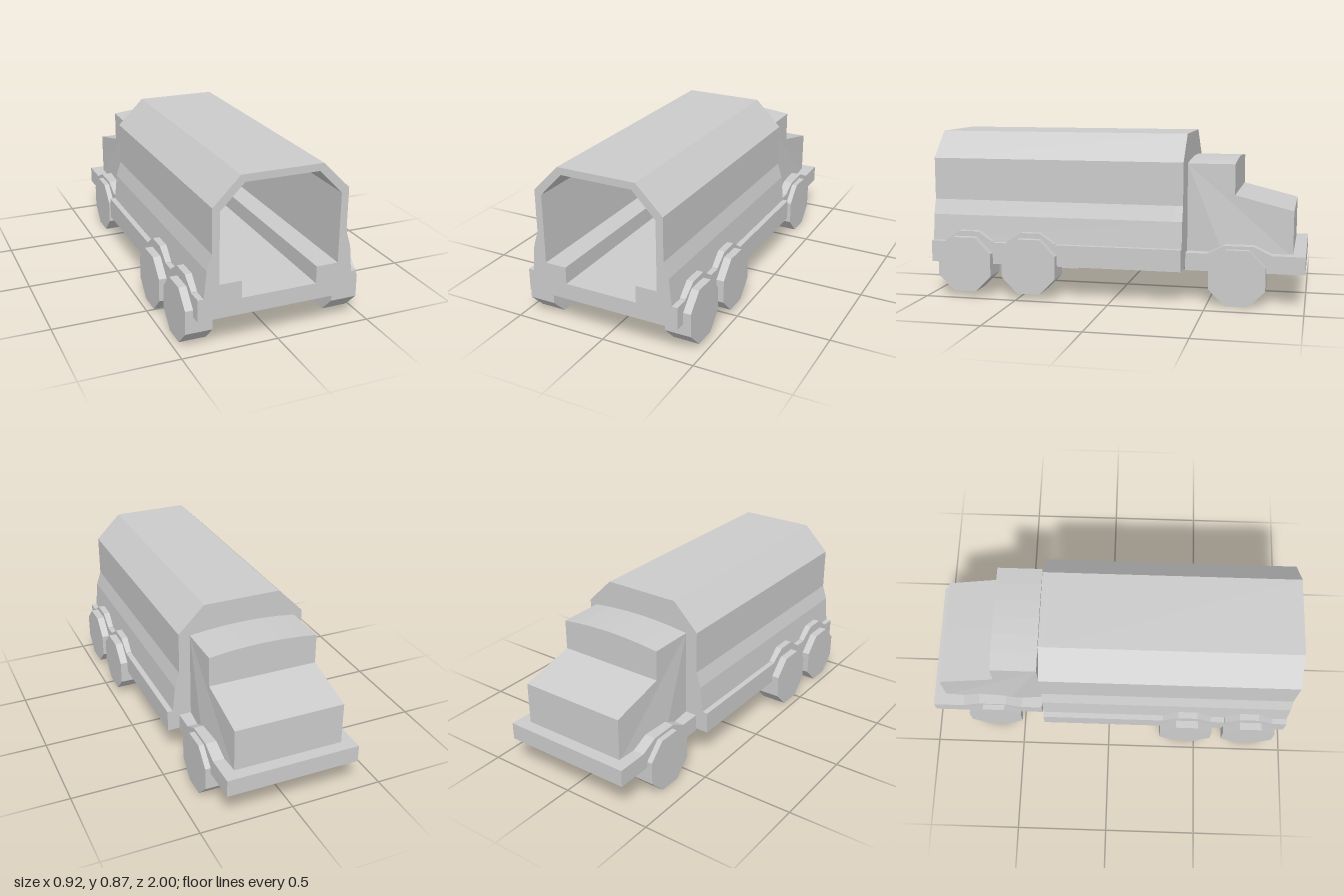
import * as THREE from 'three';

const material = new THREE.MeshStandardMaterial({ color: 0xcccccc, flatShading: true });

function add(parent, name, geometry) {
  const mesh = new THREE.Mesh(geometry, material);
  mesh.name = name;
  parent.add(mesh);
  return mesh;
}

// Closed shape from the right half of a symmetric outline, listed bottom to top
function mirrored(half) {
  const left = half.map(([x, y]) => [-x, y]).reverse();
  return new THREE.Shape([...half, ...left].map(([x, y]) => new THREE.Vector2(x, y)));
}

// Cross-section (x, y) extruded from z0 to z1
function alongZ(shape, z0, z1) {
  return new THREE.ExtrudeGeometry(shape, { depth: z1 - z0, bevelEnabled: false }).translate(0, 0, z0);
}

// Side profile (z, y) extruded from x0 to x1
function alongX(points, x0, x1, steps = 1) {
  const shape = new THREE.Shape(points.map(([z, y]) => new THREE.Vector2(z, y)));
  return new THREE.ExtrudeGeometry(shape, { depth: x1 - x0, steps, bevelEnabled: false })
    .rotateY(-Math.PI / 2)
    .translate(x1, 0, 0);
}

function createCargo() {
  const cargo = new THREE.Group();
  cargo.name = 'cargoBody';
  const outer = [[0.42, 0.175], [0.42, 0.29], [0.39, 0.29], [0.376, 0.43], [0.35, 0.51], [0.35, 0.735], [0.21, 0.875]];
  const inner = [[0.197, 0.26], [0.197, 0.35], [0.312, 0.35], [0.312, 0.713], [0.19, 0.838]];

  // Hollow shell with benches, open at one end
  const shell = mirrored(outer);
  shell.holes.push(mirrored(inner));
  add(cargo, 'cargoShell', alongZ(shell, -0.33, 1));
  add(cargo, 'cargoFrontWall', alongZ(mirrored(outer), -0.37, -0.33));

  // Raised arches above the four rear wheels
  for (const side of [-1, 1]) {
    for (const z of [0.785, 0.44]) {
      const arch = [[z - 0.135, 0.28], [z + 0.135, 0.28], [z + 0.135, 0.293], [z + 0.053, 0.349], [z - 0.053, 0.349], [z - 0.135, 0.293]];
      add(cargo, 'rearWheelArch', alongX(arch, side * 0.385 - 0.035, side * 0.385 + 0.035));
    }
  }
  return cargo;
}

function createCab() {
  const cab = new THREE.Group();
  cab.name = 'cab';

  // Footing with bumper
  add(cab, 'cabBase', new THREE.BoxGeometry(0.72, 0.092, 0.615).translate(0, 0.221, -0.6925));

  // Cab and bonnet in one profile, with crowned roof and bulging lower sides
  const profile = [[-0.385, 0.25], [-0.385, 0.727], [-0.632, 0.727], [-0.632, 0.567], [-0.935, 0.492], [-0.935, 0.25], [-0.58, 0.25]];
  const body = alongX(profile, -0.295, 0.295, 6);
  const p = body.attributes.position;
  for (let i = 0; i < p.count; i++) {
    const t = p.getX(i) / 0.295;
    if (p.getY(i) > 0.7) p.setY(i, 0.727 + 0.02 * (1 - t * t));
    if (Math.abs(p.getZ(i) + 0.58) < 0.01) p.setX(i, p.getX(i) * 1.06);
  }
  body.computeVertexNormals();
  add(cab, 'cabBody', body);

  // Arches above the two steering wheels
  const arch = [[-0.83, 0.255], [-0.5, 0.255], [-0.5, 0.267], [-0.587, 0.311], [-0.737, 0.311], [-0.83, 0.267]];
  for (const side of [-1, 1]) {
    add(cab, 'frontWheelArch', alongX(arch, side * 0.325 - 0.035, side * 0.325 + 0.035));
  }
  return cab;
}

function createWheels() {
  const wheels = new THREE.Group();
  wheels.name = 'wheels';
  const geometry = new THREE.CylinderGeometry(0.159, 0.159, 0.14, 8)
    .rotateY(Math.PI / 8)
    .rotateZ(Math.PI / 2);
  for (const side of [-1, 1]) {
    add(wheels, 'frontWheel', geometry).position.set(side * 0.319, 0.147, -0.655);
    for (const z of [0.798, 0.44]) {
      // Rear wheels sit slightly higher on the left
      add(wheels, 'rearWheel', geometry).position.set(side * 0.391, side > 0 ? 0.174 : 0.151, z);
    }
  }
  return wheels;
}

export function createModel() {
  const truck = new THREE.Group();
  truck.name = 'truck';
  truck.add(createCargo(), createCab(), createWheels());
  return truck;
}
